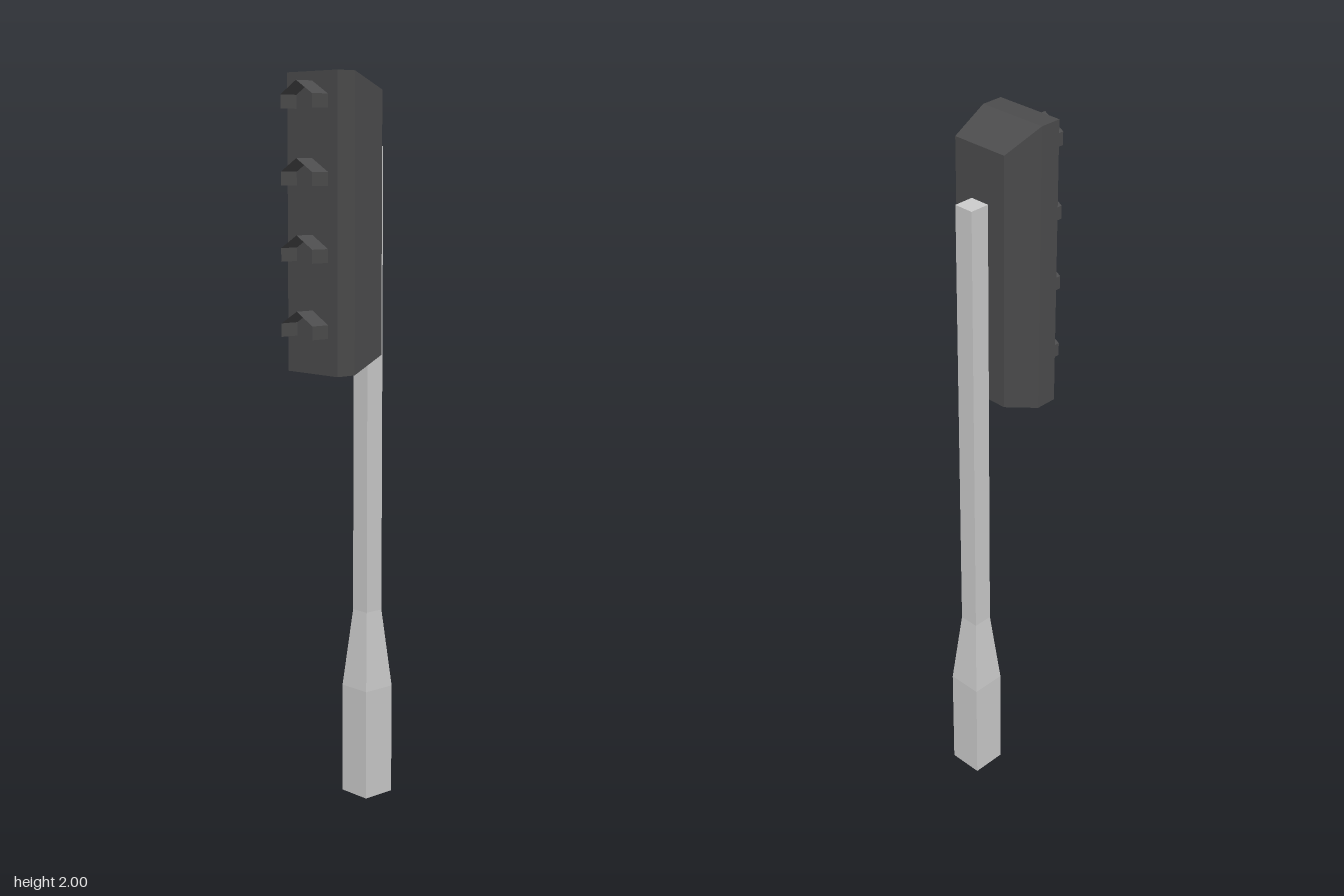
import * as THREE from 'three';

const pale = new THREE.MeshStandardMaterial({ color: 0xcccccc, flatShading: true, side: THREE.DoubleSide });
const dark = new THREE.MeshStandardMaterial({ color: 0x4c4c4d, flatShading: true, side: THREE.DoubleSide });

function addMesh(parent, name, geometry, material) {
  const mesh = new THREE.Mesh(geometry, material);
  mesh.name = name;
  parent.add(mesh);
  return mesh;
}

// Square post, open below, that narrows above its base
function poleGeometry() {
  const profile = [[0.049, 0], [0.049, 0.31], [0.028, 0.53], [0.028, 1.81], [0, 1.81]]
    .map(([half, y]) => new THREE.Vector2(half * Math.SQRT2, y));
  return new THREE.LatheGeometry(profile, 4, Math.PI / 4);
}

// Box whose back half tapers inwards
function housingGeometry() {
  const geometry = new THREE.BoxGeometry(2, 2, 2, 1, 1, 2);
  const p = geometry.attributes.position;
  for (let i = 0; i < p.count; i++) {
    const layer = Math.round(p.getZ(i));
    const [w, h] = layer < 0 ? [0.083, 0.35] : [0.099, 0.395];
    p.setXYZ(i, p.getX(i) * w, p.getY(i) * h, [-0.076, 0.036, 0.097][layer + 1]);
  }
  geometry.computeVertexNormals();
  return geometry;
}

// Thin hood: the upper half of a hexagon, standing out from the housing
function visorGeometry() {
  const section = [[-0.062, 0], [-0.062, 0.036], [0, 0.071], [0.062, 0.036], [0.062, 0]];
  const geometry = new THREE.PlaneGeometry(4, 1, 4, 1);
  const p = geometry.attributes.position;
  for (let i = 0; i < p.count; i++) {
    const [x, y] = section[Math.round(p.getX(i)) + 2];
    p.setXYZ(i, x, y, p.getY(i) > 0 ? 0.097 : 0.152);
  }
  geometry.computeVertexNormals();
  return geometry;
}

export function createModel() {
  const model = new THREE.Group();
  model.name = 'signalLight';

  addMesh(model, 'pole', poleGeometry(), pale).position.z = -0.104;
  addMesh(model, 'housing', housingGeometry(), dark).position.y = 1.605;

  // Column of four hoods
  const visor = visorGeometry();
  for (let i = 0; i < 4; i++) {
    addMesh(model, `visor${i + 1}`, visor, dark).position.y = 1.905 - i * 0.199;
  }
  return model;
}
